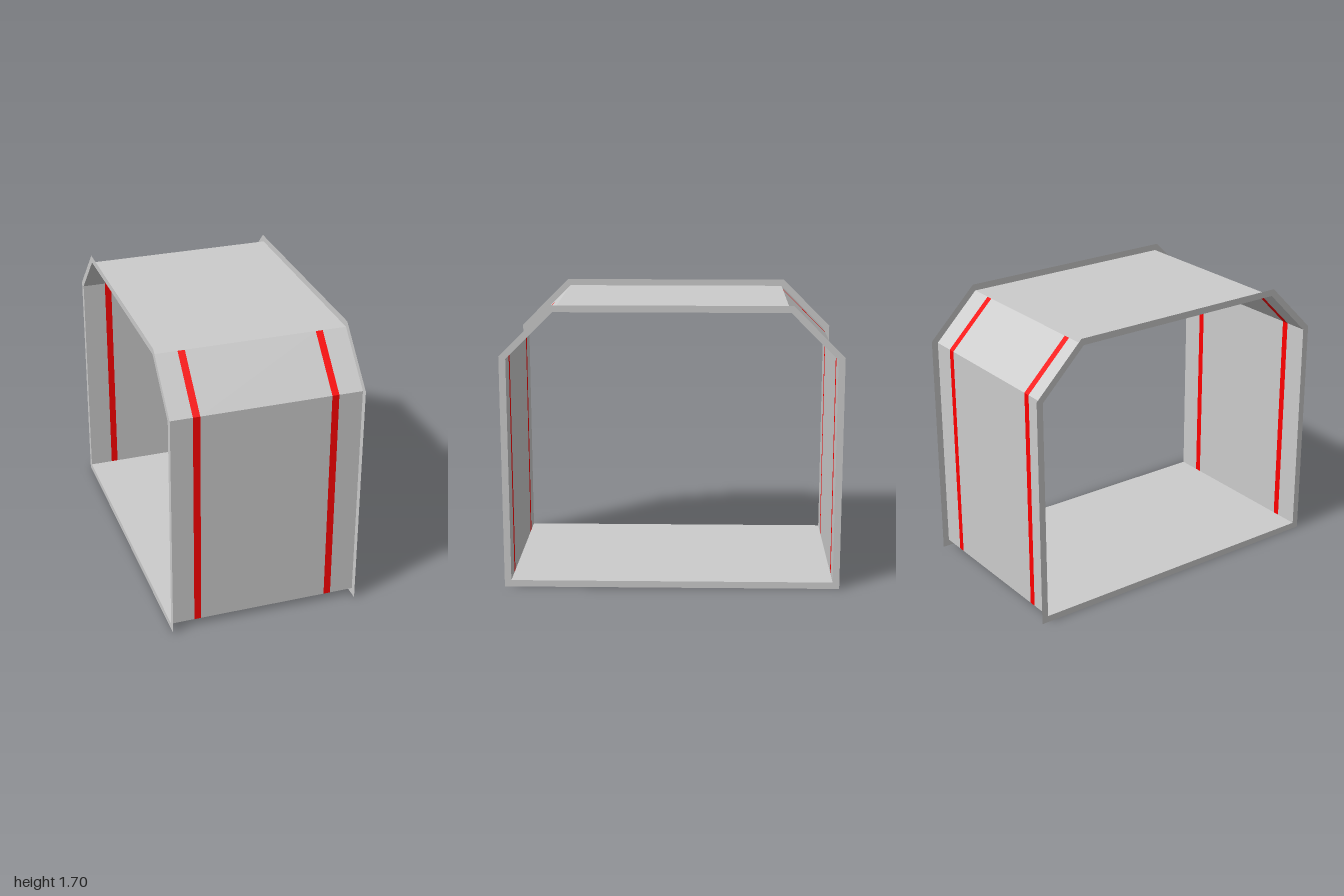
import * as THREE from 'three';

const HALF = 0.57;      // half length of the tunnel along x
const STRIPE_X = 0.407; // stripe centre line
const STRIPE_W = 0.042;

// Half profiles as [z, y], from the bottom front corner up to the roof
const INNER = [[0.96, 0.04], [0.96, 1.385], [0.685, 1.66]];
const OUTER = [[1, 0], [1, 1.4], [0.7, 1.7]];

// Mirror a half profile into a closed loop
const closeLoop = (half) => [...half, ...half.map(([z, y]) => [-z, y]).reverse()];

export function createModel() {
  const model = new THREE.Group();
  const grey = new THREE.MeshStandardMaterial({ color: 0xcccccc, side: THREE.DoubleSide, flatShading: true });
  const red = new THREE.MeshStandardMaterial({ color: 0xff0000, side: THREE.DoubleSide, flatShading: true });

  // Flat panel between two profile points, covering x0..x1, facing outward
  function panel(name, a, b, x0, x1, material) {
    const dz = b[0] - a[0], dy = b[1] - a[1];
    const mesh = new THREE.Mesh(new THREE.PlaneGeometry(x1 - x0, Math.hypot(dz, dy)), material);
    mesh.rotation.x = Math.atan2(dz, dy);
    mesh.position.set((x0 + x1) / 2, (a[1] + b[1]) / 2, (a[0] + b[0]) / 2);
    mesh.name = name;
    return mesh;
  }

  // Walls and slopes carry two stripes; roof and floor are plain
  const inner = closeLoop(INNER);
  const names = ['frontWall', 'frontSlope', 'roof', 'backSlope', 'backWall', 'floor'];
  const s0 = STRIPE_X - STRIPE_W / 2, s1 = STRIPE_X + STRIPE_W / 2;
  const cuts = [-HALF, -s1, -s0, s0, s1, HALF];
  names.forEach((name, i) => {
    const a = inner[i], b = inner[(i + 1) % inner.length];
    if (name === 'roof' || name === 'floor') {
      model.add(panel(name, a, b, -HALF, HALF, grey));
      return;
    }
    const side = new THREE.Group();
    side.name = name;
    for (let k = 0; k < 5; k++) {
      const striped = k % 2 === 1;
      side.add(panel(striped ? 'stripe' : 'wallPanel', a, b, cuts[k], cuts[k + 1], striped ? red : grey));
    }
    model.add(side);
  });

  // Thin flange framing each open end
  const toPoints = (loop) => loop.map(([z, y]) => new THREE.Vector2(z, y));
  const rimShape = new THREE.Shape(toPoints(closeLoop(OUTER)));
  rimShape.holes.push(new THREE.Path(toPoints(inner)));
  for (const sign of [-1, 1]) {
    const rim = new THREE.Mesh(new THREE.ShapeGeometry(rimShape), grey);
    rim.rotation.y = sign * Math.PI / 2;
    rim.position.x = sign * HALF;
    rim.name = sign > 0 ? 'leftEndRim' : 'rightEndRim';
    model.add(rim);
  }
  return model;
}
